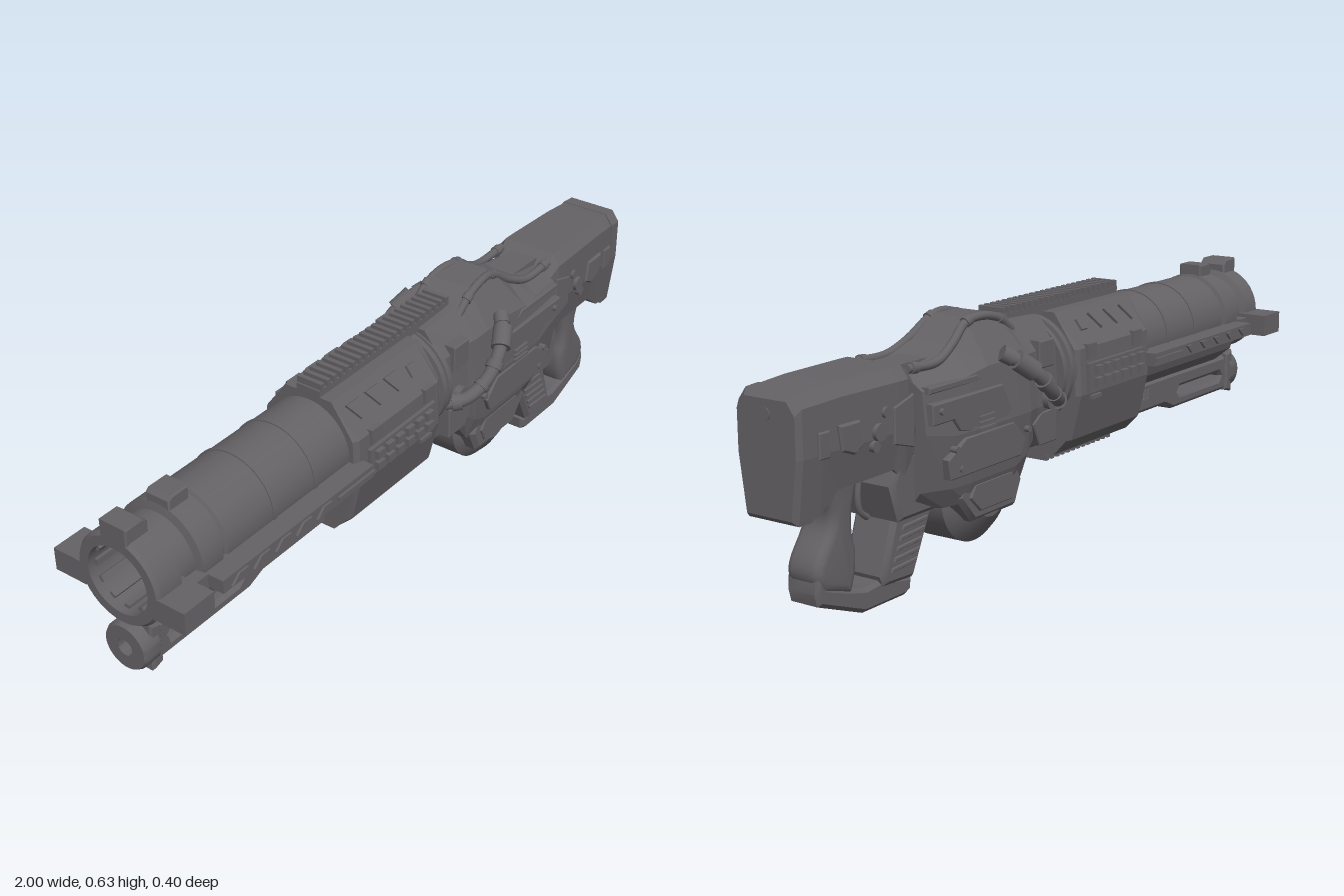
import * as THREE from 'three';
import { toCreasedNormals } from 'three/addons/utils/BufferGeometryUtils.js';

const gunmetal = new THREE.MeshStandardMaterial({ color: 0x656265 });
gunmetal.name = 'gunmetal';

export function createModel() {
  const model = new THREE.Group();
  model.name = 'launcher';
  const AXIS = 0.453;

  const add = (name, geo, x = 0, y = 0, z = 0) => {
    const m = new THREE.Mesh(geo, gunmetal);
    m.name = name;
    m.position.set(x, y, z);
    model.add(m);
    return m;
  };
  const shapeOf = pts => new THREE.Shape(pts.map(p => new THREE.Vector2(...p)));
  const box = (name, x0, x1, y0, y1, z0, z1) =>
    add(name, new THREE.BoxGeometry(x1 - x0, y1 - y0, z1 - z0), (x0 + x1) / 2, (y0 + y1) / 2, (z0 + z1) / 2);
  const sideBoxes = (name, x0, x1, y0, y1, z0, z1) => {
    box(name, x0, x1, y0, y1, z0, z1);
    box(name, x0, x1, y0, y1, -z1, -z0);
  };

  // Side outline extruded symmetrically across z, reaching +-half
  const slab = (name, outline, half, bevel = 0.003, holes = []) => {
    const shape = Array.isArray(outline) ? shapeOf(outline) : outline;
    holes.forEach(h => shape.holes.push(shapeOf(h)));
    const geo = new THREE.ExtrudeGeometry(shape, {
      depth: 2 * (half - bevel), bevelEnabled: bevel > 0, bevelSize: bevel,
      bevelThickness: bevel, bevelOffset: -bevel, bevelSegments: bevel > 0.012 ? 4 : 1, curveSegments: 10
    });
    geo.translate(0, 0, bevel - half);
    return add(name, toCreasedNormals(geo, 0.6));
  };
  const rect = (x0, x1, y0, y1) => [[x0, y0], [x1, y0], [x1, y1], [x0, y1]];

  // Faceted body through mirrored cross-sections: [x, [[z, y] from top to bottom]]
  const loft = (name, sections) => {
    const rings = sections.map(([x, half]) =>
      [...half, ...half.slice().reverse().map(([z, y]) => [-z, y])].map(([z, y]) => [x, y, z]));
    const pos = [], n = rings[0].length;
    const tri = (...ps) => ps.forEach(p => pos.push(...p));
    for (let s = 0; s < rings.length - 1; s++) {
      const a = rings[s], b = rings[s + 1];
      for (let i = 0; i < n; i++) {
        const j = (i + 1) % n;
        tri(a[i], a[j], b[j]);
        tri(a[i], b[j], b[i]);
      }
    }
    const first = rings[0], last = rings[rings.length - 1];
    for (let i = 1; i < n - 1; i++) {
      tri(first[0], first[i + 1], first[i]);
      tri(last[0], last[i], last[i + 1]);
    }
    const geo = new THREE.BufferGeometry();
    geo.setAttribute('position', new THREE.Float32BufferAttribute(pos, 3));
    geo.computeVertexNormals();
    return add(name, geo);
  };

  // Turned part along x: [x, radius] points
  const turned = (name, pts, y = AXIS) => {
    const geo = new THREE.LatheGeometry(pts.map(([x, r]) => new THREE.Vector2(r, x)), 40);
    geo.rotateZ(-Math.PI / 2);
    return add(name, toCreasedNormals(geo, 0.5), 0, y, 0);
  };
  const disc = (name, x, y, r, half) =>
    add(name, new THREE.CylinderGeometry(r, r, 2 * half, 20).rotateX(Math.PI / 2), x, y, 0);

  // Barrel with open bore, muzzle ring and second ring
  turned('barrel', [[-0.78, 0], [-0.78, 0.088], [-1, 0.088], [-1, 0.113], [-0.99, 0.12], [-0.925, 0.12],
    [-0.915, 0.104], [-0.865, 0.104], [-0.86, 0.124], [-0.795, 0.124], [-0.79, 0.113], [-0.78, 0.113],
    [-0.775, 0.121], [-0.33, 0.121], [-0.33, 0]]);
  for (const x of [-0.62, -0.47]) turned('barrelBand', [[x, 0.115], [x, 0.124], [x + 0.012, 0.124], [x + 0.012, 0.115]]);
  for (let i = 0; i < 12; i++) {
    const a = i * Math.PI / 6;
    const tooth = add('boreTooth', new THREE.BoxGeometry(0.12, 0.012, 0.016), -0.92, AXIS + 0.085 * Math.cos(a), 0.085 * Math.sin(a));
    tooth.rotation.x = a;
  }
  // Muzzle lugs
  slab('topLug', [[-1, 0.55], [-0.93, 0.55], [-0.93, 0.59], [-0.945, 0.605], [-1, 0.605]], 0.04, 0.004);
  slab('rearTopLug', [[-0.86, 0.55], [-0.795, 0.55], [-0.795, 0.605], [-0.85, 0.605], [-0.86, 0.595]], 0.035, 0.004);
  sideBoxes('sideLug', -1, -0.905, 0.395, 0.455, 0.1, 0.193);
  sideBoxes('sideLugStep', -0.905, -0.86, 0.405, 0.445, 0.09, 0.135);

  // Side rails along the barrel with slanted ribs
  sideBoxes('sideRail', -0.855, -0.31, 0.405, 0.44, 0.105, 0.174);
  sideBoxes('railLip', -0.45, -0.31, 0.418, 0.428, 0.17, 0.181);
  for (let i = 0; i < 5; i++) {
    const x = -0.83 + i * 0.075;
    slab('railRib', [[x, 0.412], [x + 0.03, 0.412], [x + 0.055, 0.434], [x + 0.025, 0.434]], 0.18, 0);
  }
  loft('barrelCradle', [-0.85, -0.32].map(x => [x, [[0.125, 0.405], [0.11, 0.36], [0.06, 0.32]]]));

  // Under-barrel tube: slotted front, perforated rear
  const slot = [[-0.9, 0.245], [-0.67, 0.245], [-0.66, 0.255], [-0.67, 0.268], [-0.9, 0.268], [-0.91, 0.257]];
  slab('lowerTube', [[-0.945, 0.21], [-0.63, 0.21], [-0.58, 0.23], [-0.335, 0.23], [-0.335, 0.315], [-0.945, 0.315]],
    0.048, 0.01, [slot, ...Array.from({ length: 8 }, (_, i) => rect(-0.5 + i * 0.019, -0.488 + i * 0.019, 0.276, 0.29))]);
  slab('lowerTubeHead', [[-0.97, 0.2], [-0.935, 0.21], [-0.935, 0.32], [-0.97, 0.33]], 0.055, 0.006);
  turned('lowerMuzzle', [[-0.95, 0], [-0.95, 0.022], [-1, 0.022], [-1, 0.058], [-0.99, 0.063], [-0.95, 0.063]], 0.264);
  box('tubeBridge', -0.94, -0.33, 0.31, 0.345, -0.035, 0.035);

  // Handguard shell
  loft('handguard', [-0.335, -0.32, 0.005, 0.02].map((x, i) => {
    const k = i % 3 ? 1 : 0.94;
    return [x, [[0.07, 0.59], [0.14 * k, 0.5], [0.145 * k, 0.38], [0.115 * k, 0.26], [0.07, 0.218]]];
  }));
  sideBoxes('ventPanel', -0.29, -0.02, 0.385, 0.46, 0.13, 0.152);
  for (let i = 0; i < 6; i++) for (const y of [0.398, 0.43])
    sideBoxes('vent', -0.275 + i * 0.041, -0.248 + i * 0.041, y, y + 0.022, 0.15, 0.165);
  for (const x of [-0.28, -0.06]) sideBoxes('ventBracket', x, x + 0.04, 0.47, 0.51, 0.11, 0.149);
  sideBoxes('handguardLatch', -0.08, -0.035, 0.365, 0.375, 0.13, 0.152);
  // Triangular marks and square button on the slanted faces
  for (const s of [1, -1]) for (let i = 0; i < 4; i++) {
    const pts = i < 3 ? [[-0.025, 0.024], [0, -0.024], [0.025, 0.024]] : [[-0.014, -0.016], [0.014, -0.016], [0.014, 0.016], [-0.014, 0.016]];
    const geo = new THREE.ExtrudeGeometry(shapeOf(pts), { depth: 0.008, bevelEnabled: false });
    if (s < 0) geo.translate(0, 0, -0.008);
    add('slantMark', geo, -0.28 + i * 0.075, 0.55, 0.1 * s).rotation.x = -s * 0.66;
  }

  // Toothed top and bottom rails
  box('topRail', -0.335, 0.2, 0.58, 0.607, -0.035, 0.035);
  for (let i = 0; i < 22; i++) box('topRailTooth', -0.33 + i * 0.0245, -0.318 + i * 0.0245, 0.605, 0.624, -0.037, 0.037);
  box('bottomRail', -0.3, 0.02, 0.208, 0.23, -0.04, 0.04);
  for (let i = 0; i < 13; i++) box('bottomRailTooth', -0.3 + i * 0.0248, -0.288 + i * 0.0248, 0.195, 0.212, -0.04, 0.04);

  // Ribbed collar between handguard and receiver
  turned('collar', [[0, 0], [0, 0.13], [0.005, 0.138], [0.02, 0.138], [0.023, 0.126], [0.03, 0.126], [0.033, 0.142],
    [0.048, 0.142], [0.051, 0.126], [0.058, 0.126], [0.06, 0.138], [0.075, 0.138], [0.075, 0]], 0.445);

  // Receiver body
  loft('receiver', [
    [0.065, [[0.055, 0.59], [0.11, 0.52], [0.12, 0.38], [0.11, 0.3], [0.08, 0.265]]],
    [0.17, [[0.055, 0.595], [0.115, 0.52], [0.125, 0.38], [0.11, 0.3], [0.08, 0.265]]],
    [0.21, [[0.055, 0.6], [0.12, 0.52], [0.132, 0.38], [0.12, 0.27], [0.095, 0.2]]],
    [0.26, [[0.055, 0.625], [0.12, 0.52], [0.135, 0.38], [0.12, 0.25], [0.105, 0.2]]],
    [0.37, [[0.05, 0.628], [0.12, 0.52], [0.135, 0.38], [0.12, 0.25], [0.105, 0.2]]],
    [0.44, [[0.055, 0.575], [0.12, 0.51], [0.135, 0.38], [0.12, 0.25], [0.105, 0.2]]],
    [0.51, [[0.06, 0.55], [0.118, 0.5], [0.13, 0.38], [0.115, 0.25], [0.09, 0.2]]],
    [0.61, [[0.06, 0.535], [0.11, 0.5], [0.12, 0.4], [0.1, 0.26], [0.07, 0.22]]]
  ]);
  slab('frontPlate', rect(0.1, 0.165, 0.475, 0.545), 0.126, 0.003);
  slab('lowerFrontPlate', [[0.085, 0.28], [0.16, 0.28], [0.19, 0.34], [0.15, 0.365], [0.085, 0.365]], 0.124);
  slab('sidePlate', [[0.33, 0.47], [0.6, 0.47], [0.6, 0.42], [0.52, 0.42], [0.5, 0.39], [0.36, 0.36], [0.29, 0.4]], 0.134);
  slab('lowerSidePlate', [[0.24, 0.32], [0.29, 0.37], [0.48, 0.37], [0.55, 0.33], [0.54, 0.28], [0.26, 0.28]], 0.138);
  for (let i = 0; i < 3; i++) slab('coolingFin', rect(0.37, 0.43, 0.375 + i * 0.014, 0.383 + i * 0.014), 0.142, 0);
  slab('upperRidge', [[0.4, 0.492], [0.6, 0.492], [0.6, 0.508], [0.42, 0.508]], 0.124);
  for (const [x, y] of [[0.23, 0.34], [0.52, 0.35], [0.57, 0.45], [0.5, 0.3]]) disc('receiverBolt', x, y, 0.008, 0.143);
  box('topSpine', 0.44, 0.62, 0.53, 0.553, -0.04, 0.04);

  // Drum under the receiver with angular cover
  add('drum', toCreasedNormals(new THREE.LatheGeometry([[0, -0.105], [0.06, -0.105], [0.1, -0.08], [0.13, -0.052],
    [0.13, 0.052], [0.1, 0.08], [0.06, 0.105], [0, 0.105]].map(p => new THREE.Vector2(...p)), 40).rotateX(Math.PI / 2), 0.3), 0.34, 0.2, 0);
  slab('drumCover', [[0.215, 0.21], [0.245, 0.145], [0.42, 0.145], [0.48, 0.215], [0.45, 0.265], [0.245, 0.265]], 0.112, 0.012);
  slab('drumCoverInset', [[0.25, 0.21], [0.27, 0.17], [0.4, 0.17], [0.44, 0.21], [0.42, 0.24], [0.27, 0.24]], 0.118);

  // Stock
  const stock = (x, top, bottom, w) => [x, [[w - 0.022, top], [w, top - 0.03], [w, 0.42], [w - 0.018, bottom]]];
  loft('stock', [stock(0.6, 0.53, 0.27, 0.09), stock(0.645, 0.565, 0.29, 0.1), stock(0.68, 0.565, 0.33, 0.1),
    stock(0.86, 0.565, 0.325, 0.093), stock(0.92, 0.562, 0.28, 0.09), stock(0.955, 0.56, 0.275, 0.088)]);
  loft('buttPlate', [stock(0.945, 0.562, 0.272, 0.092), stock(0.985, 0.56, 0.272, 0.09), stock(1, 0.545, 0.285, 0.082)]);
  disc('stockKnob', 0.75, 0.435, 0.02, 0.108);
  disc('stockKnob', 0.725, 0.475, 0.013, 0.106);
  disc('stockKnob', 0.765, 0.405, 0.013, 0.106);
  slab('stockPanel', [[0.8, 0.415], [0.83, 0.4], [0.87, 0.415], [0.88, 0.475], [0.81, 0.475]], 0.101, 0.005);
  slab('stockPanel', rect(0.905, 0.94, 0.41, 0.47), 0.096, 0.003);
  slab('stockRidge', [[0.63, 0.375], [0.7, 0.395], [0.7, 0.48], [0.63, 0.5]], 0.104);
  add('buttDisc', new THREE.CylinderGeometry(0.014, 0.014, 0.012, 20).rotateZ(Math.PI / 2), 0.9965, 0.512, 0);
  box('buttBar', 0.985, 1, 0.345, 0.47, -0.007, 0.007);
  box('buttSquare', 0.985, 1, 0.297, 0.314, -0.009, 0.009);

  // Ribbed block ahead of the hand loop
  slab('lowerReceiver', [[0.47, 0.28], [0.5, 0.2], [0.66, 0.2], [0.69, 0.29], [0.66, 0.36], [0.5, 0.36]], 0.085, 0.012);
  slab('frontGripBlock', [[0.51, 0.21], [0.585, 0.045], [0.69, 0.05], [0.7, 0.075], [0.655, 0.21]], 0.062, 0.012);
  for (let i = 0; i < 5; i++) {
    const y = 0.085 + i * 0.023, x = 0.585 - i * 0.0105;
    slab('gripRib', [[x, y], [x + 0.09, y - 0.004], [x + 0.087, y + 0.006], [x - 0.004, y + 0.01]], 0.067, 0.002);
  }

  // Lower hand loop and rear grip
  slab('handLoop', [[0.575, 0.045], [0.58, 0.01], [0.6, 0.002], [0.75, 0.002], [0.9, 0.06], [0.908, 0.09], [0.9, 0.13],
    [0.875, 0.1], [0.8, 0.075], [0.74, 0.06], [0.69, 0.065]], 0.048, 0.01);
  const grip = new THREE.Shape();
  grip.moveTo(0.75, 0.34);
  grip.bezierCurveTo(0.78, 0.27, 0.79, 0.22, 0.77, 0.17);
  grip.bezierCurveTo(0.765, 0.12, 0.775, 0.09, 0.79, 0.06);
  grip.lineTo(0.88, 0.085);
  grip.bezierCurveTo(0.92, 0.12, 0.91, 0.15, 0.88, 0.19);
  grip.bezierCurveTo(0.84, 0.24, 0.84, 0.27, 0.9, 0.34);
  slab('rearGrip', grip, 0.05, 0.022);

  // Trigger
  add('trigger', new THREE.TubeGeometry(new THREE.CatmullRomCurve3([[0.705, 0.31], [0.712, 0.26], [0.705, 0.225],
    [0.68, 0.205]].map(([x, y]) => new THREE.Vector3(x, y, 0))), 12, 0.008, 8));

  // Mirrored hoses
  for (const s of [1, -1]) {
    const curve = pts => new THREE.CatmullRomCurve3(pts.map(([x, y, z]) => new THREE.Vector3(x, y, z * s)));
    const side = curve([[0.08, 0.385, 0.11], [0.12, 0.395, 0.15], [0.18, 0.43, 0.172], [0.23, 0.475, 0.172], [0.28, 0.515, 0.152], [0.315, 0.54, 0.125]]);
    const top = curve([[0.2, 0.575, 0.065], [0.25, 0.61, 0.064], [0.31, 0.625, 0.06], [0.37, 0.618, 0.055], [0.44, 0.575, 0.065], [0.51, 0.548, 0.075], [0.62, 0.55, 0.075]]);
    const sleeve = (name, path, t, r, len) => {
      const m = add(name, new THREE.CylinderGeometry(r, r, len, 16), ...path.getPointAt(t).toArray());
      m.quaternion.setFromUnitVectors(new THREE.Vector3(0, 1, 0), path.getTangentAt(t));
    };
    add('sideHose', new THREE.TubeGeometry(side, 32, 0.018, 12));
    [[0.1, 0.024, 0.025], [0.35, 0.021, 0.012], [0.55, 0.023, 0.02], [0.8, 0.026, 0.06], [0.97, 0.021, 0.03]]
      .forEach(([t, r, l]) => sleeve('hoseSleeve', side, t, r, l));
    add('topHose', new THREE.TubeGeometry(top, 40, 0.011, 10));
    [0.12, 0.4, 0.95].forEach(t => sleeve('topHoseSleeve', top, t, 0.014, 0.02));
  }
  disc('hoseSocket', 0.125, 0.395, 0.026, 0.14);
  return model;
}
